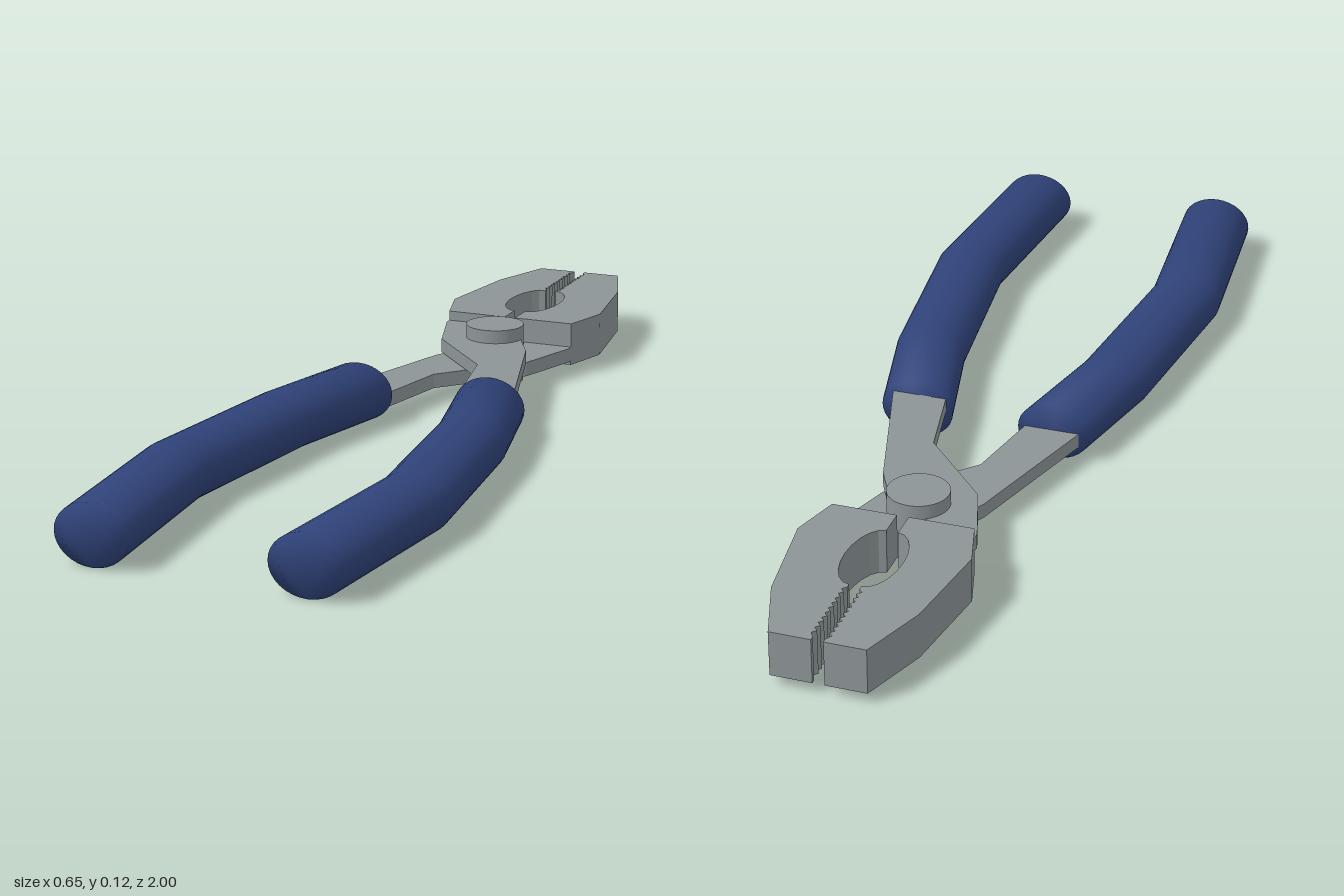
import * as THREE from 'three';

const steel = new THREE.MeshStandardMaterial({ color: 0x8c9496 });
steel.name = 'steel grey';
const grip = new THREE.MeshStandardMaterial({ color: 0x2f4278 });
grip.name = 'grip blue';

// Flat plate from an outline of [x, z] points, between two heights
function plate(name, points, bottom, top, side) {
  const shape = new THREE.Shape(points.map(([x, z]) => new THREE.Vector2(x * side, z)));
  const geo = new THREE.ExtrudeGeometry(shape, { depth: top - bottom, bevelEnabled: false });
  geo.rotateX(Math.PI / 2);
  geo.translate(0, top, 0);
  const mesh = new THREE.Mesh(geo, steel);
  mesh.name = name;
  return mesh;
}

// Jaw outline with a round pipe recess and a row of teeth
function jawOutline() {
  const pts = [[0.012, -1], [0.095, -1], [0.145, -0.86], [0.175, -0.65], [0.145, -0.545], [0.012, -0.545]];
  for (let i = 0; i <= 10; i++) {
    const t = i / 10;
    pts.push([0.012 + 0.046 * Math.sin(Math.PI * t), -0.705 + 0.1 * Math.cos(Math.PI * t)]);
  }
  for (let i = 0; i < 10; i++) {
    const z = -0.815 - i * 0.017;
    pts.push([0.012, z], [0.02, z - 0.0085]);
  }
  pts.push([0.012, -0.99]);
  return pts;
}

// Lever running from the jaw on one side, past the pivot, to the opposite grip
const lever = [
  [-0.145, -0.55], [-0.145, -0.53], [-0.1, -0.39], [0, -0.28], [0.05, -0.225], [0.085, -0.05], [0.095, 0],
  [0.21, 0], [0.2, -0.05], [0.145, -0.235], [0.105, -0.37], [0.06, -0.455], [0.03, -0.5],
  [-0.037, -0.51], [-0.037, -0.55],
];

// Oval sleeve lofted along the bent handle
function sleeve(name, side) {
  const path = [[0.148, -0.047], [0.205, 0.2], [0.25, 0.6], [0.215, 1]];
  const n = 32, pos = [], idx = [];
  for (const [x, z] of path) {
    for (let j = 0; j < n; j++) {
      const a = -Math.PI / 2 + (j / n) * Math.PI * 2;
      pos.push(x * side + 0.077 * Math.cos(a), 0.0625 + 0.0625 * Math.sin(a), z);
    }
  }
  const last = (path.length - 1) * n;
  for (let i = 0; i < last; i += n) {
    for (let j = 0; j < n; j++) {
      const k = (j + 1) % n;
      idx.push(i + j, i + k, i + n + j, i + k, i + n + k, i + n + j);
    }
  }
  // end caps share the rim so the ends shade softly
  for (let j = 1; j < n - 1; j++) {
    idx.push(0, j + 1, j, last, last + j, last + j + 1);
  }
  const geo = new THREE.BufferGeometry();
  geo.setAttribute('position', new THREE.Float32BufferAttribute(pos, 3));
  geo.setIndex(idx);
  geo.computeVertexNormals();
  const mesh = new THREE.Mesh(geo, grip);
  mesh.name = name;
  return mesh;
}

export function createModel() {
  const group = new THREE.Group();
  group.name = 'pliers';
  for (const [label, side] of [['left', 1], ['right', -1]]) {
    group.add(plate(label + 'Jaw', jawOutline(), 0.023, 0.117, side));
    group.add(sleeve(label + 'Grip', side));
  }
  // Upper and lower crossing levers
  group.add(plate('upperLever', lever, 0.066, 0.096, 1));
  group.add(plate('lowerLever', lever, 0.033, 0.064, -1));

  // Pivot pin
  const pin = new THREE.Mesh(new THREE.CylinderGeometry(0.063, 0.063, 0.125, 40), steel);
  pin.name = 'pivotPin';
  pin.position.set(0, 0.0625, -0.455);
  group.add(pin);
  return group;
}
